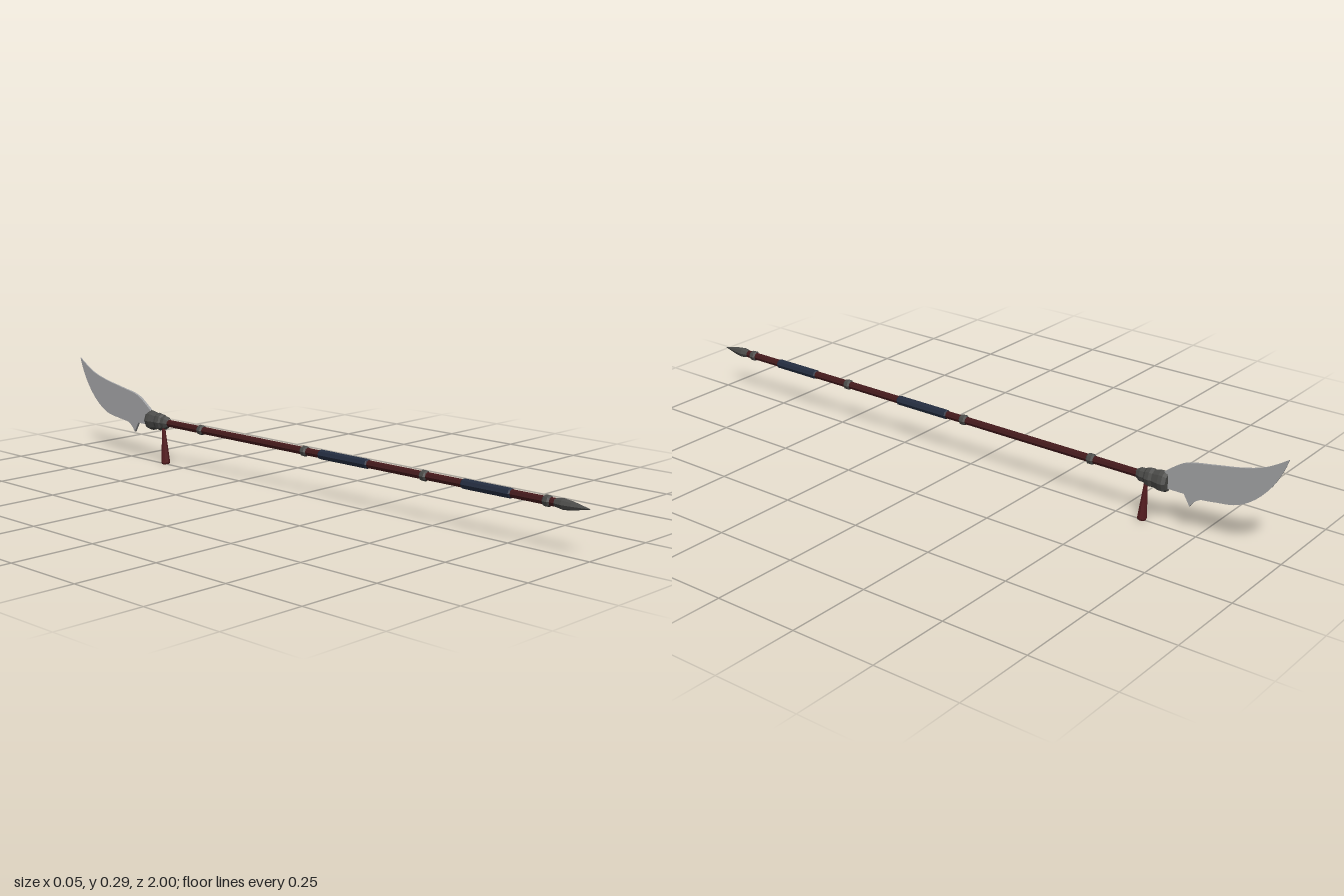
import * as THREE from 'three';

const AXIS_Y = 0.132;

function material(name, color) {
  const m = new THREE.MeshStandardMaterial({ color });
  m.name = name;
  return m;
}

export function createModel() {
  const wood = material('dark red wood', 0x43191b);
  const cloth = material('navy wrap', 0x232c3f);
  const iron = material('dark iron', 0x4a4a48);
  const steel = material('blade steel', 0xa2a3a5);
  const thread = material('red tassel thread', 0x561d20);

  const group = new THREE.Group();
  group.name = 'polearm';

  function add(name, geometry, mat) {
    let g = geometry;
    if (g.index) g = g.toNonIndexed();
    g.computeVertexNormals();
    const mesh = new THREE.Mesh(g, mat);
    mesh.name = name;
    group.add(mesh);
    return mesh;
  }

  // Faceted solid turned about the shaft; profile is [radius, z] with rising z
  function turned(name, profile, mat, sides = 8) {
    const g = new THREE.LatheGeometry(profile.map(([r, z]) => new THREE.Vector2(r, z)), sides);
    g.rotateX(Math.PI / 2);
    const mesh = add(name, g, mat);
    mesh.position.y = AXIS_Y;
    return mesh;
  }

  // Shaft, grips and binding rings
  turned('shaft', [[0, -0.6], [0.0115, -0.6], [0.0115, 0.9], [0, 0.9]], wood);
  for (const [a, b] of [[0.085, 0.27], [0.6, 0.76]]) {
    turned('gripWrap', [[0.0115, a], [0.0142, a + 0.004], [0.0142, b - 0.004], [0.0115, b]], cloth);
  }
  for (const z of [-0.415, 0.025, 0.47, 0.87]) {
    turned('bindingRing', [[0.0115, z - 0.011], [0.0155, z - 0.006], [0.0155, z + 0.006], [0.0115, z + 0.011]], iron);
  }

  // Pointed butt spike
  turned('buttSpike', [[0.011, 0.882], [0.0115, 0.895], [0.0155, 0.918], [0.012, 0.945], [0, 1]], iron);

  // Stepped socket holding the blade
  const socket = turned('socket', [
    [0, -0.66], [0.025, -0.66], [0.031, -0.65], [0.031, -0.638], [0.025, -0.617],
    [0.028, -0.608], [0.026, -0.596], [0.021, -0.59], [0.021, -0.577], [0.0125, -0.562],
  ], iron);
  socket.scale.x = 0.82;

  // Curved blade outline, drawn as (-z, y)
  const outline = new THREE.Shape();
  outline.moveTo(0.64, 0.115);
  outline.lineTo(0.709, 0.115);
  outline.lineTo(0.728, 0.083);
  outline.quadraticCurveTo(0.738, 0.103, 0.76, 0.112);
  outline.splineThru([[0.8, 0.117], [0.864, 0.128], [0.917, 0.16], [0.96, 0.208], [0.987, 0.257], [1, 0.292]]
    .map(([x, y]) => new THREE.Vector2(x, y)));
  outline.splineThru([[0.94, 0.256], [0.874, 0.235], [0.794, 0.22], [0.714, 0.204], [0.665, 0.175], [0.64, 0.155]]
    .map(([x, y]) => new THREE.Vector2(x, y)));
  const blade = new THREE.ExtrudeGeometry(outline, { depth: 1, bevelEnabled: false, curveSegments: 6 });
  blade.translate(0, 0, -0.5);
  // Thin the blade toward its tip
  const p = blade.attributes.position;
  for (let i = 0; i < p.count; i++) {
    const t = (p.getX(i) - 0.64) / 0.36;
    p.setZ(i, p.getZ(i) * THREE.MathUtils.lerp(0.009, 0.003, t));
  }
  blade.rotateY(Math.PI / 2);
  add('blade', blade, steel);

  // Hanging tassel, leaning slightly
  const tassel = new THREE.LatheGeometry([[0, 0], [0.0115, 0], [0.0137, 0.005], [0.0065, 0.094], [0.005, 0.118], [0, 0.118]]
    .map(([r, y]) => new THREE.Vector2(r, y)), 8);
  const hanging = add('tassel', tassel, thread);
  hanging.position.z = -0.583;
  hanging.rotation.x = -0.07;
  hanging.position.y = 0.001;

  return group;
}
